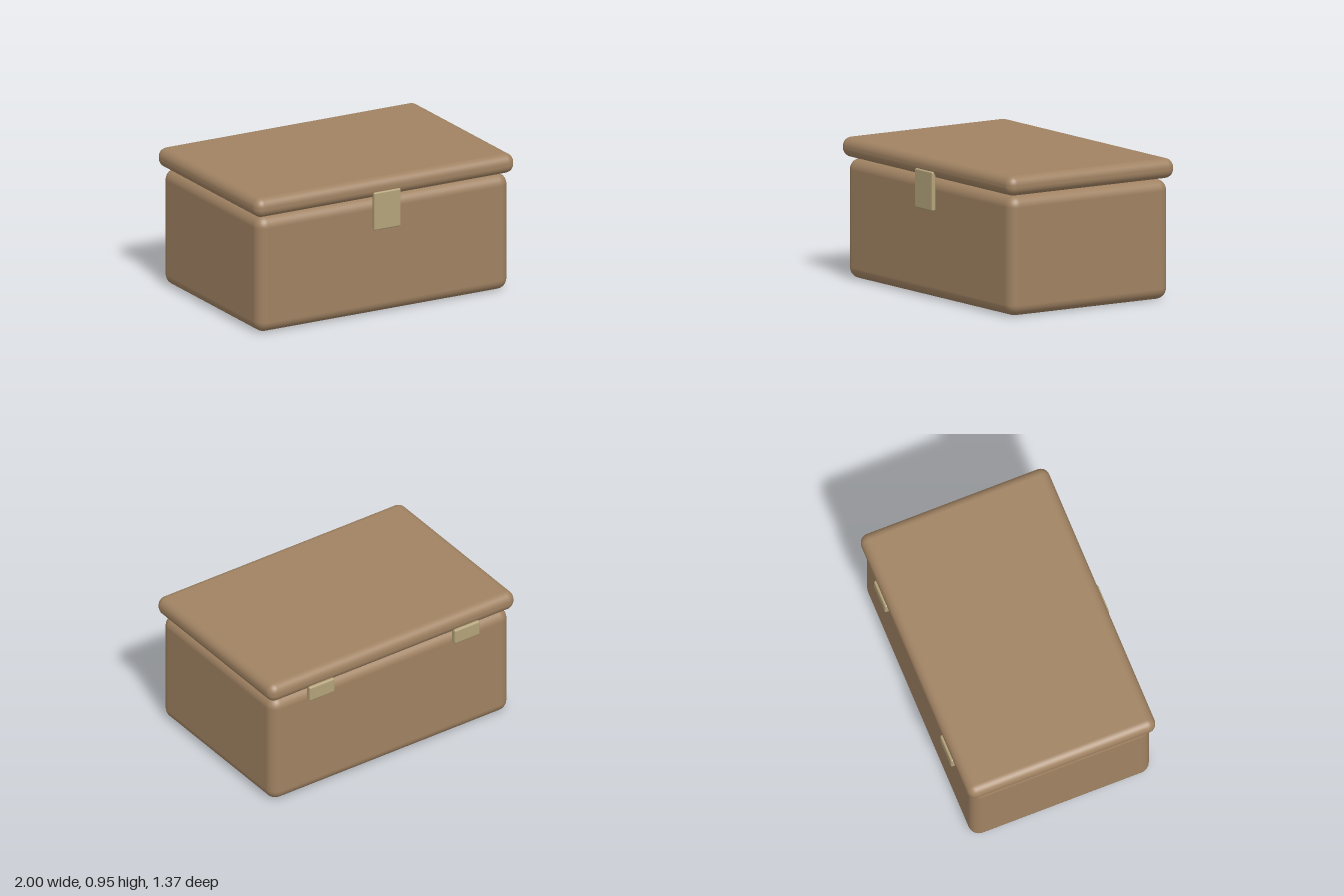
import * as THREE from 'three';
import { RoundedBoxGeometry } from 'three/addons/geometries/RoundedBoxGeometry.js';

export function createModel() {
  const chest = new THREE.Group();
  chest.name = 'chest';

  const leather = new THREE.MeshStandardMaterial({ color: 0xa08262 });
  leather.name = 'brown leather';
  const brass = new THREE.MeshStandardMaterial({ color: 0xb4a37a });
  brass.name = 'pale brass';

  // Rounded block spanning the given x, y and z ranges
  function block(name, material, [x0, x1], [y0, y1], [z0, z1], radius) {
    const geometry = new RoundedBoxGeometry(x1 - x0, y1 - y0, z1 - z0, 5, radius);
    const mesh = new THREE.Mesh(geometry, material);
    mesh.position.set((x0 + x1) / 2, (y0 + y1) / 2, (z0 + z1) / 2);
    mesh.name = name;
    chest.add(mesh);
  }

  // Box and overhanging lid, with a narrow gap between them
  block('body', leather, [-0.97, 0.97], [0, 0.81], [-0.645, 0.645], 0.075);
  block('lid', leather, [-1, 1], [0.818, 0.953], [-0.675, 0.675], 0.062);

  // Front latch plate
  block('latch', brass, [-0.103, 0.103], [0.6, 0.865], [0.656, 0.687], 0.01);

  // Pair of hinges at the back
  for (const side of [-1, 1]) {
    const x = side * 0.59;
    block(side > 0 ? 'leftHinge' : 'rightHinge', brass,
      [x - 0.102, x + 0.102], [0.74, 0.85], [-0.687, -0.643], 0.013);
  }

  return chest;
}
